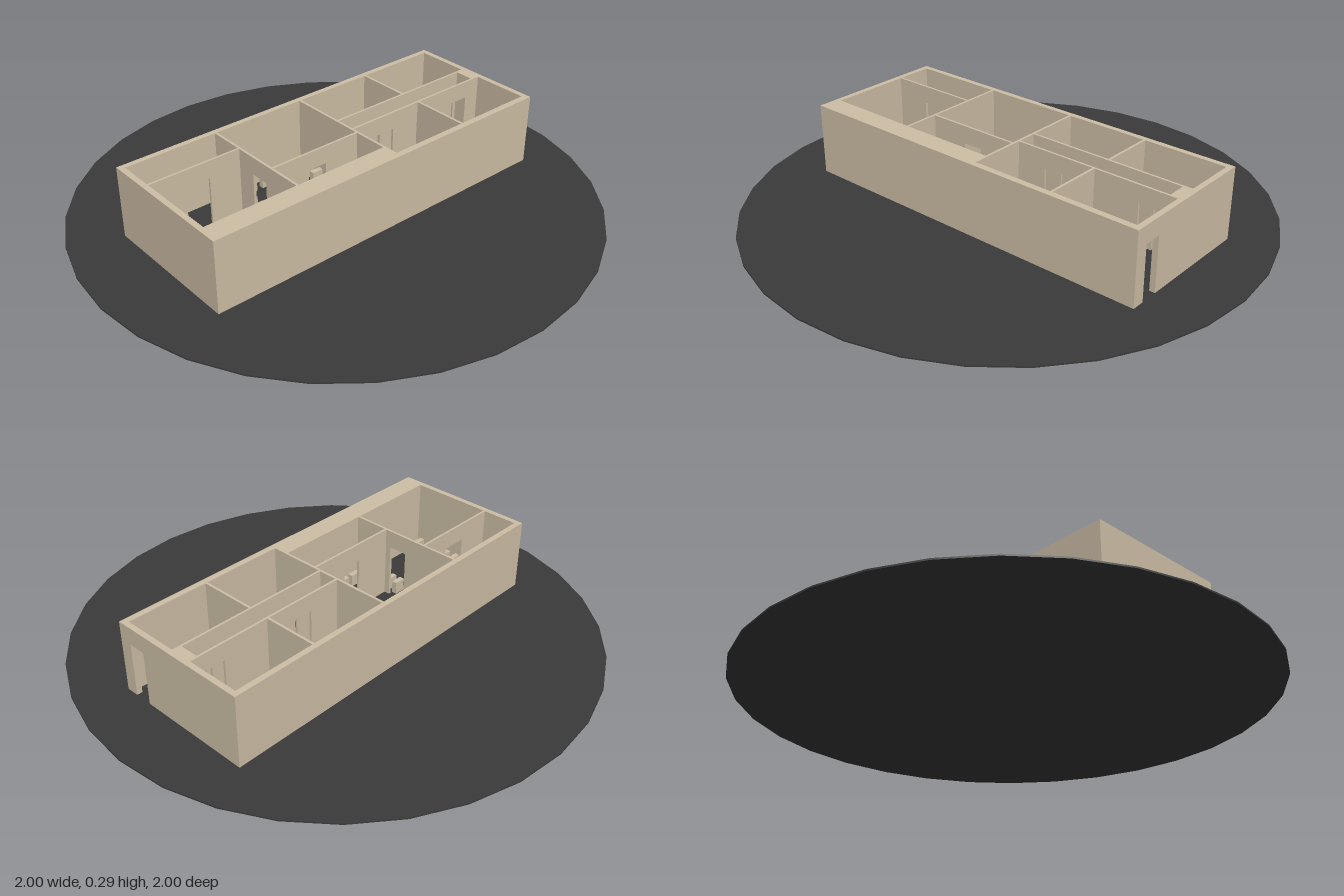
import * as THREE from 'three';

const FLOOR = 0.006, TOP = 0.29, DOOR = 0.22, SEAT = 0.05;
const wallMat = new THREE.MeshStandardMaterial({ color: 0xcdbea5 });
const groundMat = new THREE.MeshStandardMaterial({ color: 0x3a3a3a });

function add(parent, name, geometry, x, y, z, material = wallMat) {
  const mesh = new THREE.Mesh(geometry, material);
  mesh.name = name;
  mesh.position.set(x, y, z);
  parent.add(mesh);
  return mesh;
}

// Box given by its plan rectangle, standing on the floor
function block(parent, name, x0, x1, z0, z1, height) {
  return add(parent, name, new THREE.BoxGeometry(x1 - x0, height, z1 - z0),
    (x0 + x1) / 2, FLOOR + height / 2, (z0 + z1) / 2);
}

// Upright wall outline from a to b with doorways cut up from the floor
function wallGeometry(a, b, doors, thickness) {
  const s = new THREE.Shape();
  s.moveTo(a, FLOOR);
  for (const [d0, d1] of doors) {
    s.lineTo(d0, FLOOR);
    s.lineTo(d0, DOOR);
    s.lineTo(d1, DOOR);
    s.lineTo(d1, FLOOR);
  }
  s.lineTo(b, FLOOR);
  s.lineTo(b, TOP);
  s.lineTo(a, TOP);
  return new THREE.ExtrudeGeometry(s, { depth: thickness, bevelEnabled: false })
    .translate(0, 0, -thickness / 2);
}

// Wall running along x at a given z
function wallX(parent, name, z, a, b, doors = [], t = 0.009) {
  add(parent, name, wallGeometry(a, b, doors, t), 0, 0, z);
}

// Wall running along z at a given x
function wallZ(parent, name, x, a, b, doors = [], t = 0.01) {
  const flipped = doors.map(([p, q]) => [-q, -p]).reverse();
  add(parent, name, wallGeometry(-b, -a, flipped, t).rotateY(Math.PI / 2), x, 0, 0);
}

export function createModel() {
  const model = new THREE.Group();
  model.name = 'floorPlanBuilding';

  // Round ground plate
  add(model, 'ground', new THREE.CylinderGeometry(1, 1, FLOOR, 32), 0, FLOOR / 2, 0, groundMat);

  // Outer walls, thicker along the front of the left wing
  const outer = new THREE.Group();
  outer.name = 'outerWalls';
  model.add(outer);
  const h = TOP - FLOOR;
  block(outer, 'backWall', -0.73, 0.76, -0.305, -0.283, h);
  block(outer, 'sideWall', -0.73, -0.708, -0.283, 0.19, h);
  block(outer, 'thickFrontWall', -0.73, 0.06, 0.19, 0.275, h);
  block(outer, 'frontWall', 0.06, 0.76, 0.25, 0.275, h);
  wallZ(outer, 'entranceWall', 0.749, -0.283, 0.25, [[0.155, 0.225]], 0.022);
  block(outer, 'corridorEndBlock', 0.705, 0.738, -0.065, 0.018, h);

  // Inner partitions with doorways
  const inner = new THREE.Group();
  inner.name = 'partitions';
  model.add(inner);
  wallZ(inner, 'partition', -0.33, -0.283, 0.19, [[-0.055, 0.02]]);
  wallZ(inner, 'partition', 0.064, -0.283, 0.25, [[-0.05, 0.012]]);
  wallZ(inner, 'partition', 0.402, -0.283, -0.065);
  wallZ(inner, 'partition', 0.402, 0.018, 0.25);
  wallX(inner, 'partition', -0.138, -0.708, -0.33, [[-0.565, -0.465]]);
  wallX(inner, 'partition', 0.047, -0.33, 0.064, [[-0.17, -0.09]]);
  wallX(inner, 'corridorWall', -0.065, 0.064, 0.738, [[0.2, 0.28], [0.6, 0.69]]);
  wallX(inner, 'corridorWall', 0.018, 0.064, 0.738, [[0.19, 0.27], [0.59, 0.67]]);

  // Seats: rows along x [z, xs] and columns along z [x, zs]
  const seats = new THREE.Group();
  seats.name = 'seats';
  model.add(seats);
  const seatGeometry = new THREE.BoxGeometry(0.046, SEAT, 0.021);
  const seat = (x, z) => add(seats, 'seat', seatGeometry, x, FLOOR + SEAT / 2, z);
  const run = (start, step, n) => Array.from({ length: n }, (_, i) => start + i * step);
  const rows = [
    [-0.248, run(-0.285, 0.072, 5)],
    [0.07, [-0.285, 0.025]],
    [0.173, run(-0.285, 0.062, 6)],
    [-0.255, run(0.107, 0.064, 5)],
    [-0.1, [0.107, 0.17, 0.298, 0.362]],
    [-0.262, run(0.45, 0.064, 5)],
    [-0.105, [0.45, 0.51, 0.575, 0.698]],
    [0.073, [0.107, 0.17, 0.305, 0.362]],
    [0.22, run(0.107, 0.064, 5)],
  ];
  const columns = [
    [-0.667, run(-0.083, 0.047, 6)],
    [-0.368, run(0.01, 0.039, 5)],
    [-0.285, run(-0.2, 0.052, 3)],
    [0.025, run(-0.195, 0.052, 3)],
  ];
  for (const [z, xs] of rows) xs.forEach((x) => seat(x, z));
  for (const [x, zs] of columns) zs.forEach((z) => seat(x, z));

  // Tables and round stools in the two offices
  const furniture = new THREE.Group();
  furniture.name = 'officeFurniture';
  model.add(furniture);
  const round = (name, x, z, r, height) =>
    add(furniture, name, new THREE.CylinderGeometry(r, r, height, 24), x, FLOOR + height / 2, z);
  block(furniture, 'sideTable', -0.69, -0.62, -0.243, -0.19, 0.065);
  round('roundTable', -0.63, -0.214, 0.037, 0.07);
  block(furniture, 'desk', 0.432, 0.547, 0.1, 0.15, 0.07);
  round('deskStool', 0.47, 0.073, 0.018, 0.06);
  for (const x of [0.442, 0.517]) round('visitorStool', x, 0.178, 0.011, 0.065);

  return model;
}
